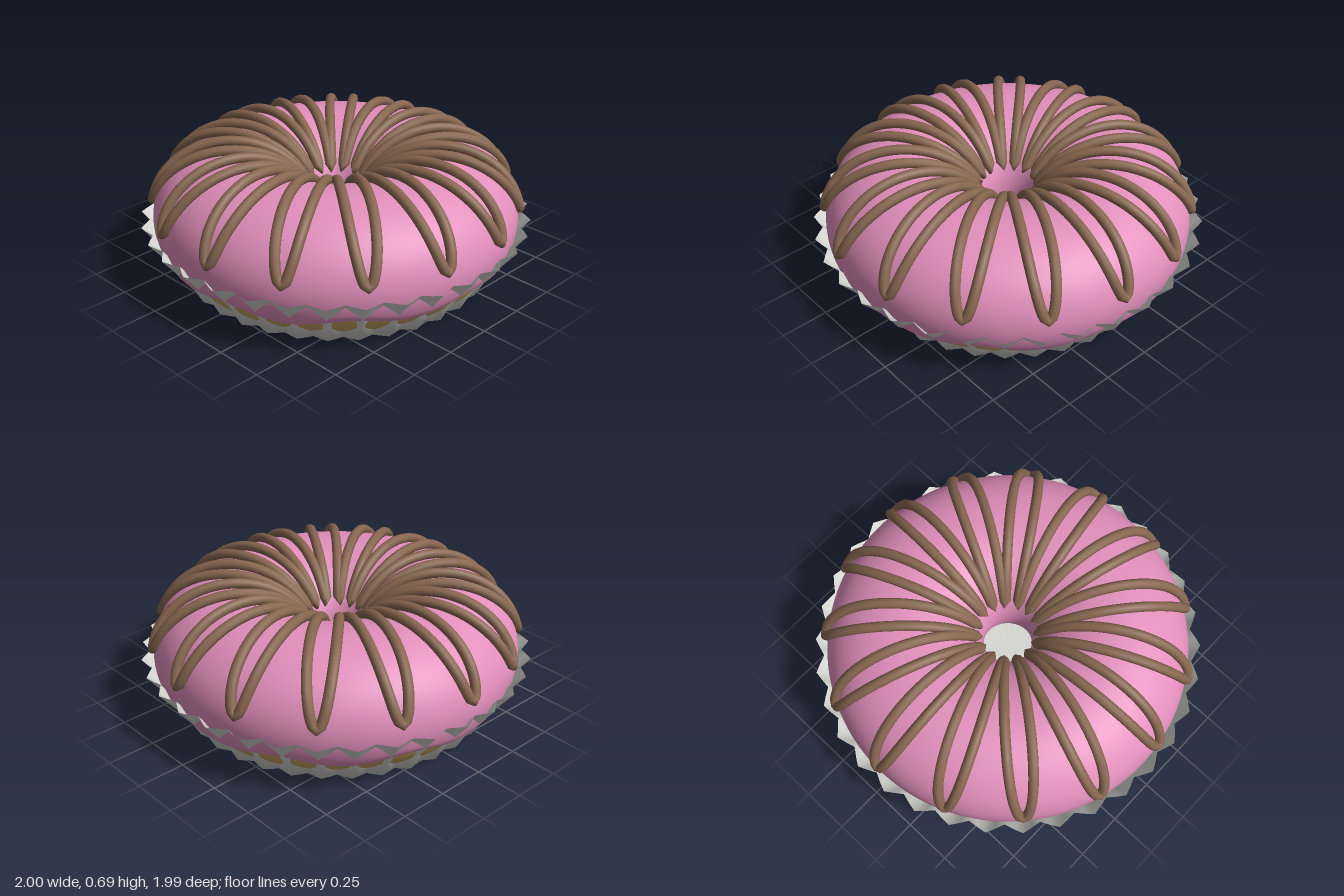
import * as THREE from 'three';

const TAU = Math.PI * 2, DEG = Math.PI / 180;
const R = 0.53; // ring radius of the doughnut

const paperGrey = new THREE.MeshStandardMaterial({ color: 0xd6d6d2, side: THREE.DoubleSide });
const doughTan = new THREE.MeshStandardMaterial({ color: 0xc9a566 });
const icingPink = new THREE.MeshStandardMaterial({ color: 0xe28fbc });
const chocolateBrown = new THREE.MeshStandardMaterial({ color: 0x876650 });

// Surface closed around y; profile(phi, j) returns [radius, height] for row j
function ringSurface(around, rows, profile) {
  const pos = [], index = [];
  for (let j = 0; j <= rows; j++) {
    for (let i = 0; i < around; i++) {
      const phi = (i / around) * TAU;
      const [r, y] = profile(phi, j);
      pos.push(r * Math.sin(phi), y, r * Math.cos(phi));
      if (j === rows) continue;
      const a = j * around + i, b = j * around + ((i + 1) % around);
      index.push(a, b, a + around, b, b + around, a + around);
    }
  }
  const g = new THREE.BufferGeometry();
  g.setAttribute('position', new THREE.Float32BufferAttribute(pos, 3));
  g.setIndex(index);
  g.computeVertexNormals();
  return g;
}

// Point on the dough's cross-section, flattened where it rests on the paper
function doughPoint(a) {
  const s = Math.sin(a);
  return [R + 0.385 * Math.cos(a), Math.max(0.012, 0.31 + s * (s > 0 ? 0.31 : 0.35))];
}

// Pleated paper cup: floor, then flaring wall
function cupGeometry() {
  const rows = [[0.001, 0, 0], [0.775, 0, 0.018], [0.828, 0.1, 0.019], [0.9, 0.2, 0.021], [0.977, 0.297, 0.023]];
  return ringSurface(34 * 4, rows.length - 1, (phi, j) => {
    const [r, y, fold] = rows[j];
    return [r + fold * Math.cos(34 * (phi - Math.PI / 2)), y];
  });
}

// Icing shell with a wavy, rounded lower edge that tucks into the dough
function icingGeometry() {
  const rows = 56;
  return ringSurface(144, rows, (phi, j) => {
    const edge = (-27.5 + 4.5 * Math.cos(9 * phi)) * DEG;
    // Rows crowd together towards both edges
    const t = (1 - Math.cos((j / rows) * Math.PI)) / 2;
    const a = edge + t * (Math.PI - 2 * edge);
    const k = Math.min(1, Math.min(a - edge, Math.PI - edge - a) / (9 * DEG));
    const thick = Math.sqrt(Math.max(0, 1 - (1 - k) ** 2));
    const [dr, dy] = doughPoint(a);
    const r = R + 0.405 * Math.cos(a), y = 0.3 + 0.34 * Math.sin(a);
    return [dr + (r - dr) * thick, dy + (y - dy) * thick];
  });
}

// Chocolate line weaving between the outer slope and the hole, 15 loops
function drizzleGeometry() {
  const loops = 15, steps = 24, points = [];
  for (let i = 0; i < loops * steps; i++) {
    const phi = (i / (loops * steps)) * TAU;
    const a = (83 - 72 * Math.cos(loops * phi)) * DEG;
    const r = R + 0.415 * Math.cos(a);
    points.push(new THREE.Vector3(r * Math.sin(phi + Math.PI), 0.3 + 0.361 * Math.sin(a), r * Math.cos(phi + Math.PI)));
  }
  const curve = new THREE.CatmullRomCurve3(points, true);
  curve.arcLengthDivisions = 2000;
  return new THREE.TubeGeometry(curve, 1200, 0.026, 10, true);
}

export function createModel() {
  const model = new THREE.Group();
  model.name = 'icedDoughnut';
  const add = (name, geometry, material) => {
    const mesh = new THREE.Mesh(geometry, material);
    mesh.name = name;
    model.add(mesh);
  };
  add('paperCup', cupGeometry(), paperGrey);
  add('dough', ringSurface(96, 48, (phi, j) => doughPoint((j / 48) * TAU - Math.PI / 2)), doughTan);
  add('icing', icingGeometry(), icingPink);
  add('chocolateDrizzle', drizzleGeometry(), chocolateBrown);
  return model;
}
